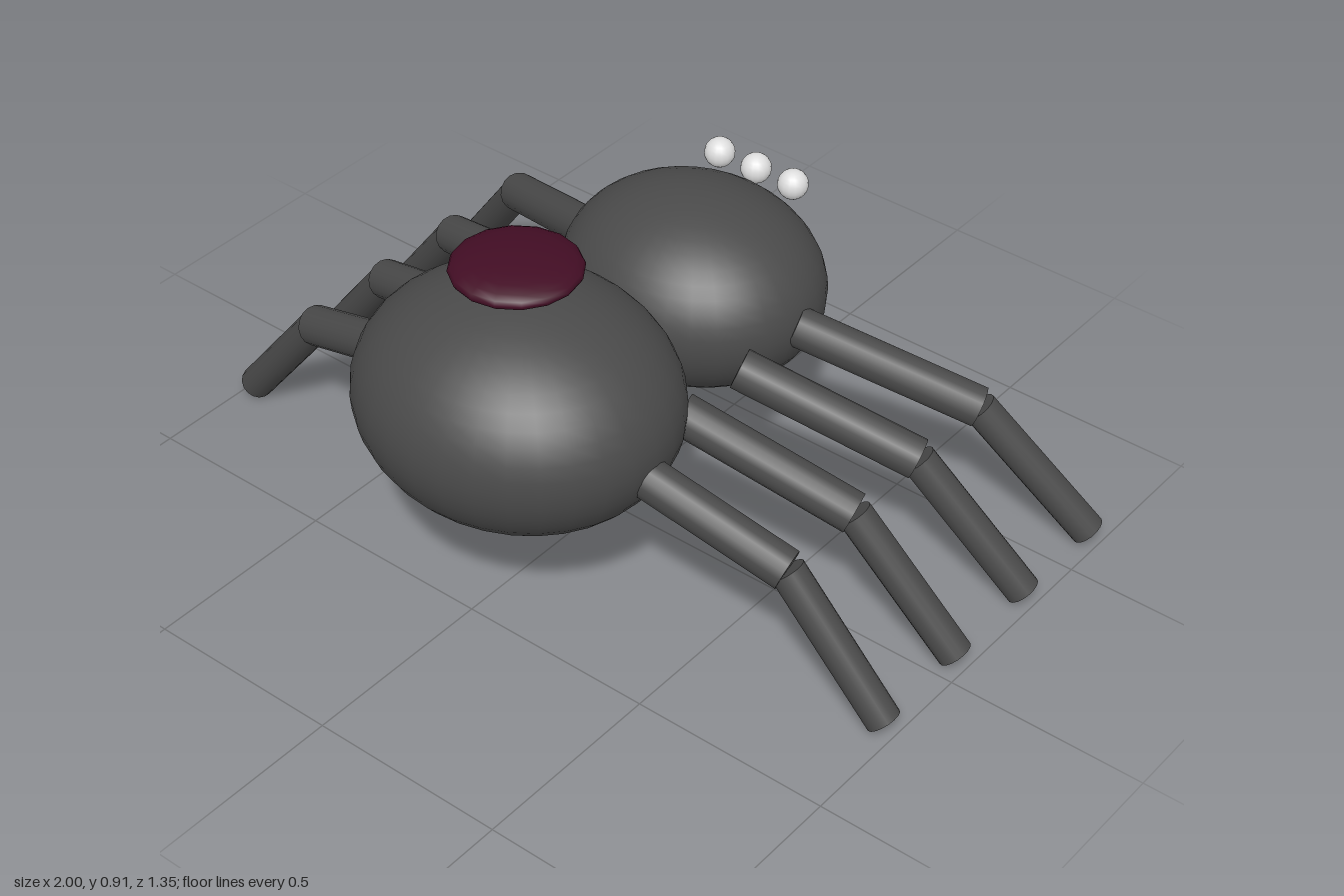
import * as THREE from 'three';

const grey = new THREE.MeshStandardMaterial({ color: 0x4a4a4a });
grey.name = 'charcoal grey';
const maroon = new THREE.MeshStandardMaterial({ color: 0x420d24 });
maroon.name = 'dark maroon';
const pearl = new THREE.MeshStandardMaterial({ color: 0xdedede });
pearl.name = 'pale eye';

function ellipsoid(name, material, center, radii, segments, rings) {
  const mesh = new THREE.Mesh(new THREE.SphereGeometry(1, segments, rings), material);
  mesh.name = name;
  mesh.position.set(...center);
  mesh.scale.set(...radii);
  return mesh;
}

// Capped cylinder running between two points
function rod(name, from, to, radius) {
  const a = new THREE.Vector3(...from);
  const b = new THREE.Vector3(...to);
  const dir = b.clone().sub(a);
  const mesh = new THREE.Mesh(new THREE.CylinderGeometry(radius, radius, dir.length(), 16), grey);
  mesh.name = name;
  mesh.position.copy(a).add(b).multiplyScalar(0.5);
  mesh.quaternion.setFromUnitVectors(new THREE.Vector3(0, 1, 0), dir.normalize());
  return mesh;
}

export function createModel() {
  const model = new THREE.Group();
  model.name = 'spider';

  // Body and the floating oval marking above the abdomen
  model.add(
    ellipsoid('abdomen', grey, [0, 0.53, 0.32], [0.4, 0.28, 0.357], 32, 24),
    ellipsoid('head', grey, [0, 0.502, -0.318], [0.335, 0.237, 0.296], 32, 24),
    ellipsoid('backMarking', maroon, [0, 0.875, 0.317], [0.153, 0.037, 0.153], 16, 12),
  );

  // Row of three eyes
  for (const x of [-0.11, 0, 0.11]) {
    model.add(ellipsoid('eye', pearl, [x, 0.688, -0.558], [0.038, 0.038, 0.038], 16, 12));
  }

  for (const side of [-1, 1]) {
    const name = side > 0 ? 'left' : 'right';

    // Fang: cone with its point against the head
    const fang = new THREE.Mesh(new THREE.ConeGeometry(0.053, 0.15, 12), grey);
    fang.name = name + 'Fang';
    fang.position.set(side * 0.11, 0.36, -0.594);
    fang.rotation.x = 0.5;
    model.add(fang);

    // Four two-part legs, fanning out from the hips
    for (let i = 0; i < 4; i++) {
      const leg = new THREE.Group();
      leg.name = name + 'Leg' + (i + 1);
      const hip = [side * 0.31, 0.505, 0.335 - i * 0.215];
      const knee = [side * 0.71, 0.347, 0.25 - i * 0.25];
      const foot = [side * 0.968, 0.032, 0.222 - i * 0.28];
      leg.add(rod('upperLeg', hip, knee, 0.05), rod('lowerLeg', knee, foot, 0.042));
      model.add(leg);
    }
  }
  return model;
}
